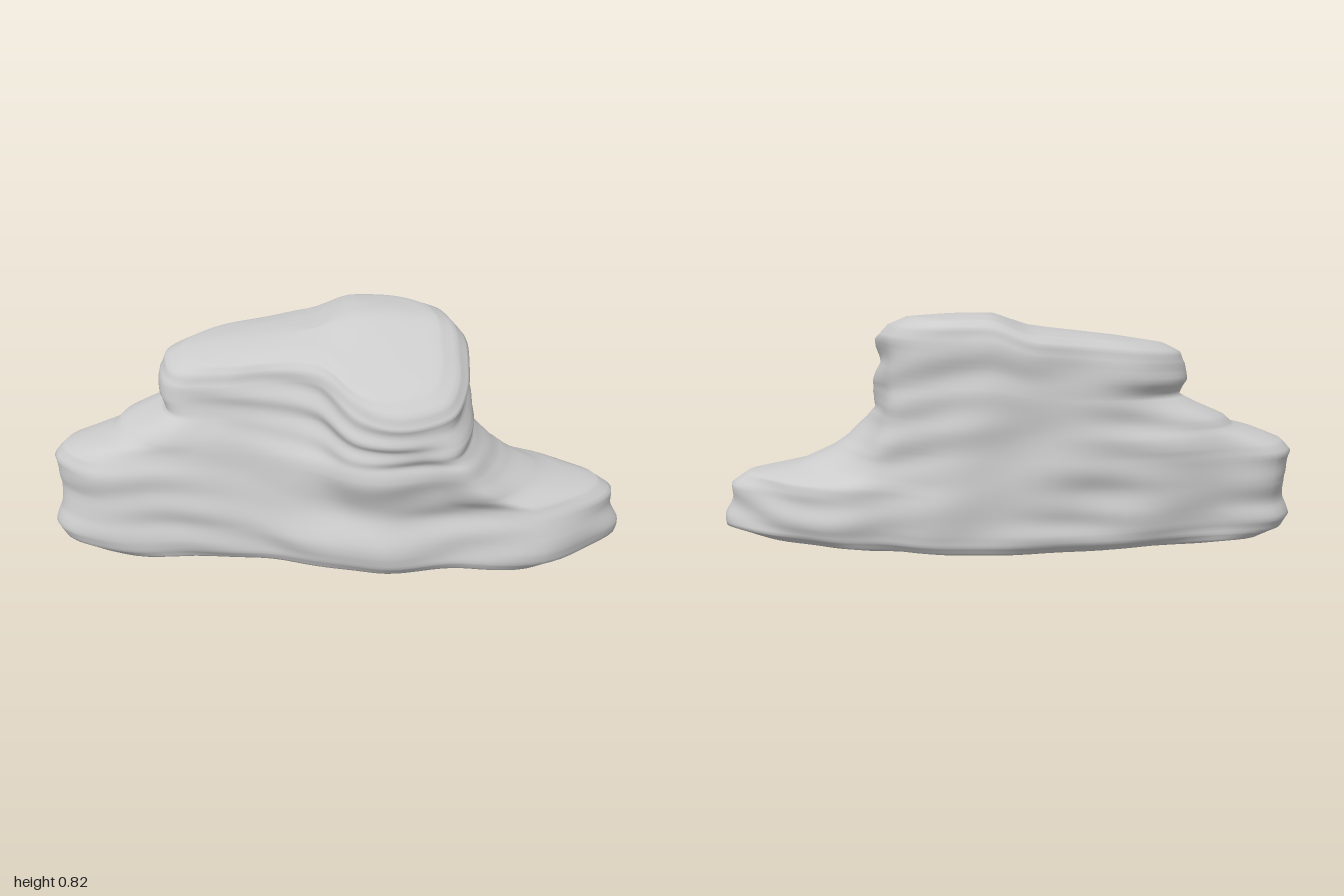
import * as THREE from 'three';

// Plan outlines [x, z], from the left tip round the front, the right tip and the back
const FOOT = [[-0.97, 0.03], [-0.91, 0.11], [-0.8, 0.16], [-0.55, 0.18], [-0.3, 0.2], [-0.13, 0.25],
  [0.02, 0.3], [0.15, 0.32], [0.4, 0.29], [0.67, 0.32], [0.85, 0.2], [0.95, 0.1], [0.94, 0.02],
  [0.76, -0.12], [0.6, -0.21], [0.42, -0.25], [0.2, -0.32], [-0.05, -0.325], [-0.4, -0.28],
  [-0.7, -0.2], [-0.91, -0.15], [-0.97, -0.06]];
const CROWN = [[-0.6, -0.05], [-0.58, 0.02], [-0.53, 0.06], [-0.4, 0.08], [-0.25, 0.09], [-0.08, 0.13],
  [0.03, 0.25], [0.12, 0.29], [0.25, 0.29], [0.36, 0.25], [0.41, 0.15], [0.42, 0.04], [0.42, -0.05],
  [0.4, -0.13], [0.37, -0.2], [0.31, -0.25], [0.17, -0.295], [-0.03, -0.305], [-0.25, -0.28],
  [-0.45, -0.24], [-0.56, -0.17], [-0.6, -0.11]];

// Layers: [height, foot-to-crown blend on the left, same on the right, scale]
const LAYERS = [[0, 0, 0, 0], [0, 0, 0, 0.5], [0.003, 0, 0, 0.82], [0.015, 0, 0, 0.93],
  [0.045, -0.03, -0.05, 0.985], [0.09, -0.04, -0.02, 1], [0.15, 0.01, 0.01, 1], [0.2, 0.01, 0.02, 1],
  [0.24, 0.02, 0.11, 1], [0.275, 0, 0.44, 1], [0.33, -0.02, 0.67, 1], [0.37, 0.08, 0.79, 1],
  [0.44, 0.5, 0.91, 1], [0.49, 0.62, 0.98, 1], [0.55, 0.86, 0.95, 1], [0.59, 1, 0.96, 1],
  [0.66, 0.95, 1.01, 1], [0.74, 1, 1.01, 1.01], [0.785, 1.01, 1.03, 0.97], [0.81, 1.02, 1.04, 0.86],
  [0.82, 1, 1, 0.55], [0.825, 1, 1, 0]];

const AROUND = 132, SUB = 4;
const { lerp, smoothstep, clamp } = THREE.MathUtils;

function sampleOutline(points) {
  const curve = new THREE.CatmullRomCurve3(points.map(([x, z]) => new THREE.Vector3(x, 0, z)), true);
  return Array.from({ length: AROUND }, (_, i) => curve.getPoint(i / AROUND));
}

// Soft, broken strata, and a shallow waist low on the front
function relief(x, y, z) {
  const patch = 0.5 + 0.5 * Math.sin(x * 8 - z * 9 + y * 6);
  return 0.005 * patch * Math.sin(y * 50 + 2.5 * Math.sin(x * 4 + z * 5))
    + 0.004 * Math.sin(y * 24 + x * 7 - z * 5)
    + 0.004 * Math.sin(x * 19 + z * 13 + y * 9)
    - 0.035 * Math.exp(-(((y - 0.23) / 0.08) ** 2)) * smoothstep(z, 0.15, 0.3);
}

// How far the top falls: towards the front, and in a step down to the left
function topDrop(x, z) {
  const crest = smoothstep(x, -0.1, 0.06);
  const forward = z + 0.08;
  return lerp(0.25, 0.5, crest) * 0.5 * (forward + Math.hypot(forward, 0.05))
    + 0.05 * (1 - crest) + 0.1 * Math.max(0, -0.08 - x);
}

function rockGeometry() {
  const foot = sampleOutline(FOOT), crown = sampleOutline(CROWN);
  const positions = [], indices = [];
  const rows = (LAYERS.length - 1) * SUB + 1;

  for (let r = 0; r < rows; r++) {
    const k = Math.min(Math.floor(r / SUB), LAYERS.length - 2);
    const f = r / SUB - k;
    const [level, left, right, scale] = LAYERS[k].map((v, i) => lerp(v, LAYERS[k + 1][i], f));
    const rise = clamp((level - 0.12) / 0.6, 0, 1);
    // The ends step in at the ledges, while front and back lean in steadily
    const ring = foot.map((p, i) => new THREE.Vector3(
      lerp(p.x, crown[i].x, lerp(left, right, smoothstep(p.x, -0.45, 0.5))), 0,
      lerp(p.z, crown[i].z, rise)));
    const cx = -0.08 * rise, cz = -0.07 * rise;

    ring.forEach((p, i) => {
      const next = ring[(i + 1) % AROUND], prev = ring[(i + AROUND - 1) % AROUND];
      const out = new THREE.Vector3(prev.z - next.z, 0, next.x - prev.x).normalize();
      const bump = relief(p.x, level, p.z);
      const x = cx + (p.x + out.x * bump - cx) * scale;
      const z = cz + (p.z + out.z * bump - cz) * scale;
      const drop = topDrop(x, z) * clamp((level - 0.4) / 0.36, 0, 1);
      // The underside lifts a little at the back and left
      const lift = (1 - smoothstep(level, 0, 0.2)) * (0.04 * Math.max(0, 0.2 - z) + 0.01 * Math.max(0, 0.3 - x));
      positions.push(x, level - drop + lift, z);
    });
  }

  for (let r = 0; r < rows - 1; r++) {
    for (let i = 0; i < AROUND; i++) {
      const j = (i + 1) % AROUND;
      const a = r * AROUND + i, b = r * AROUND + j, c = a + AROUND, d = b + AROUND;
      indices.push(a, b, c, b, d, c);
    }
  }

  const geometry = new THREE.BufferGeometry();
  geometry.setAttribute('position', new THREE.Float32BufferAttribute(positions, 3));
  geometry.setIndex(indices);
  geometry.computeVertexNormals();
  return geometry;
}

export function createModel() {
  const group = new THREE.Group();
  group.name = 'rockFormation';
  const rock = new THREE.Mesh(rockGeometry(), new THREE.MeshStandardMaterial({ color: 0xcccccc }));
  rock.name = 'layeredRock';
  group.add(rock);
  return group;
}
